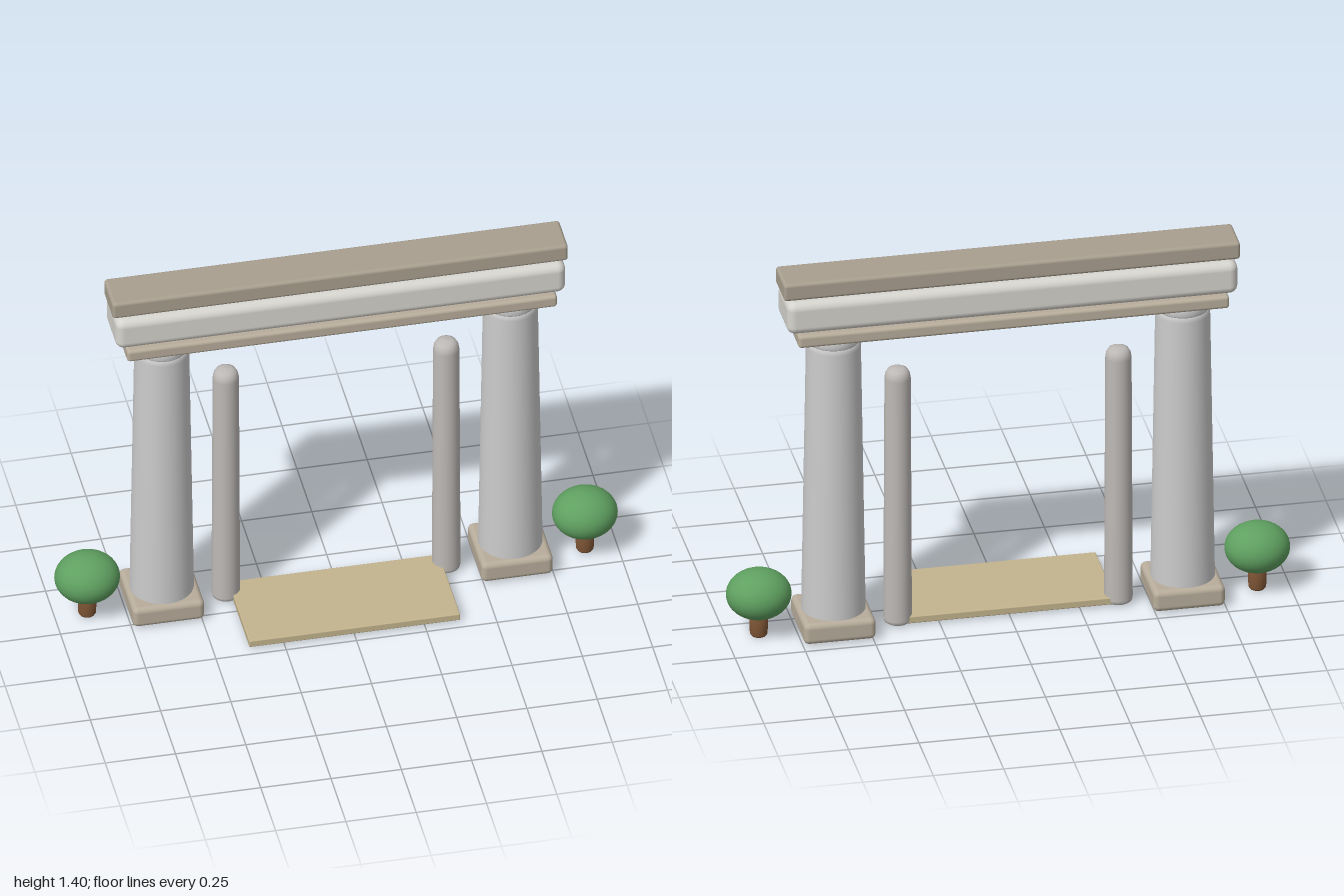
import * as THREE from 'three';
import { RoundedBoxGeometry } from 'three/addons/geometries/RoundedBoxGeometry.js';

const Z = -0.095; // shared depth line of the gateway

const paint = (color) => new THREE.MeshStandardMaterial({ color });
const MAT = {
  trim: paint(0xb8ad9b),
  cornice: paint(0xa99f8f),
  frieze: paint(0xd6d4ce),
  shaft: paint(0xc6c2c2),
  pole: paint(0xbdb9b6),
  path: paint(0xc4b48e),
  leaf: paint(0x5fa060),
  bark: paint(0x7a5233),
};

function add(parent, name, geometry, material, x = 0, y = 0, z = 0) {
  const mesh = new THREE.Mesh(geometry, material);
  mesh.name = name;
  mesh.position.set(x, y, z);
  parent.add(mesh);
  return mesh;
}

// Rounded slab given by its bottom and top heights
function slab(parent, name, material, w, y0, y1, d, r, x = 0, z = Z) {
  const geometry = new RoundedBoxGeometry(w, y1 - y0, d, 4, r);
  return add(parent, name, geometry, material, x, (y0 + y1) / 2, z);
}

// Surface of revolution from [radius, height] pairs
const turned = (points) =>
  new THREE.LatheGeometry(points.map(([r, y]) => new THREE.Vector2(r, y)), 40);

function createColumn(side) {
  const column = new THREE.Group();
  column.name = side > 0 ? 'leftColumn' : 'rightColumn';
  column.position.set(side * 0.62, 0, Z);
  slab(column, 'columnBase', MAT.trim, 0.255, 0.006, 0.086, 0.255, 0.02, 0, 0);
  // Tapered shaft with softened ends, showing slightly below the base
  add(column, 'columnShaft', turned([
    [0, 0], [0.09, 0], [0.105, 0.006], [0.112, 0.02], [0.113, 0.05],
    [0.096, 1.115], [0.094, 1.13], [0.088, 1.137], [0, 1.137],
  ]), MAT.shaft);
  // Collar under the beam
  add(column, 'columnCollar', turned([
    [0, 1.132], [0.09, 1.132], [0.095, 1.139], [0.095, 1.16], [0.09, 1.168], [0, 1.168],
  ]), MAT.shaft);
  return column;
}

function createPole(side) {
  const pole = add(new THREE.Group(), side > 0 ? 'leftPole' : 'rightPole', turned([
    [0, 0.005], [0.04, 0.005], [0.047, 0.01], [0.05, 0.022],
    [0.046, 0.96], [0.043, 0.978], [0.035, 0.992], [0.022, 0.998], [0, 1],
  ]), MAT.pole);
  pole.position.set(side * 0.392, 0, Z);
  return pole;
}

function createTree(side) {
  const tree = new THREE.Group();
  tree.name = side > 0 ? 'leftTree' : 'rightTree';
  tree.position.set(side * 0.885, 0, Z);
  add(tree, 'trunk', turned([
    [0, 0.002], [0.026, 0.002], [0.031, 0.01], [0.034, 0.09], [0, 0.1],
  ]), MAT.bark);
  const crown = add(tree, 'crown', new THREE.SphereGeometry(1, 36, 24), MAT.leaf, 0, 0.163, 0);
  crown.scale.set(0.115, 0.09, 0.106);
  return tree;
}

export function createModel() {
  const model = new THREE.Group();
  model.name = 'gateway';

  for (const side of [-1, 1]) {
    model.add(createColumn(side), createPole(side), createTree(side));
  }

  // Stacked lintel
  slab(model, 'lowerBeam', MAT.trim, 1.53, 1.165, 1.213, 0.22, 0.012);
  slab(model, 'middleBeam', MAT.frieze, 1.6, 1.21, 1.333, 0.195, 0.03);
  slab(model, 'topBeam', MAT.cornice, 1.62, 1.337, 1.403, 0.155, 0.012);

  // Paving between the poles
  slab(model, 'path', MAT.path, 0.75, 0.007, 0.034, 0.35, 0.004, 0, 0.045);

  return model;
}
